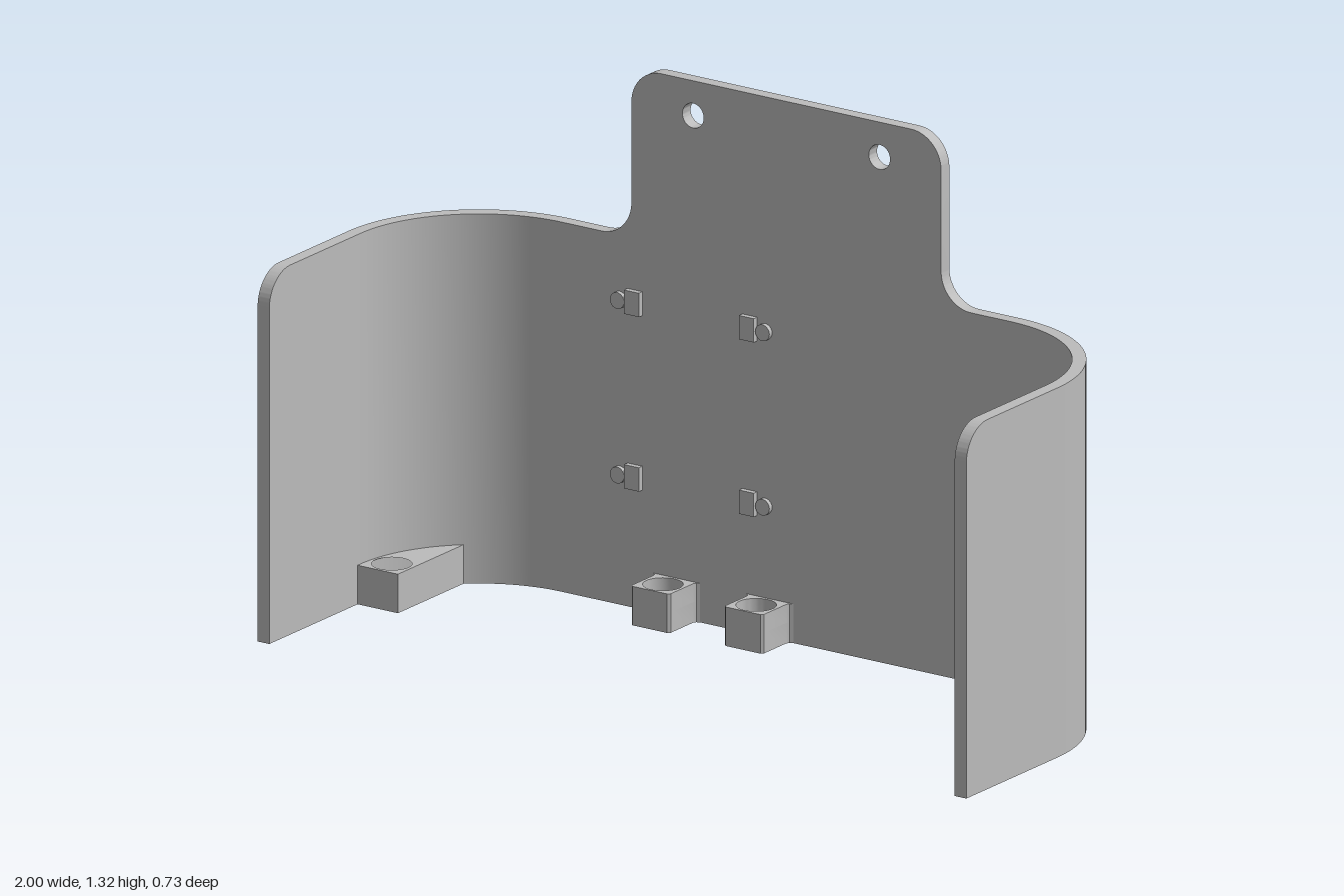
import * as THREE from 'three';
import { toCreasedNormals } from 'three/addons/utils/BufferGeometryUtils.js';

const T = 0.033;        // wall thickness
const H = 0.9;          // wall height
const D = 0.367;        // half depth
const R = 0.367;        // outer corner radius
const CX = 1 - R;       // corner centre, at z = 0
const INNER = -D + T;   // inner face of the back wall
const BOSS_H = 0.095;

export function createModel() {
  const group = new THREE.Group();
  const grey = new THREE.MeshStandardMaterial({ color: 0xbcbcbc });
  grey.name = 'grey plastic';

  function add(name, geometry) {
    const mesh = new THREE.Mesh(toCreasedNormals(geometry, 0.5), grey);
    mesh.name = name;
    group.add(mesh);
    return mesh;
  }
  const extrude = (shape, depth) =>
    new THREE.ExtrudeGeometry(shape, { depth, bevelEnabled: false, curveSegments: 20 });
  // Extrude a plan outline (x, -z) upwards from y0
  const rise = (shape, y0, height) => extrude(shape, height).rotateX(-Math.PI / 2).translate(0, y0, 0);
  const circle = (x, y, r) => new THREE.Path().absarc(x, y, r, 0, Math.PI * 2, true);
  const arc = (r, a0, a1, s) => Array.from({ length: 33 }, (_, i) => {
    const a = a0 + (a1 - a0) * i / 32;
    return new THREE.Vector2(s * (CX + r * Math.cos(a)), r * Math.sin(a));
  });

  // Back panel with the raised mounting tab
  const w = 0.437, top = 1.315, r = 0.085;
  const back = new THREE.Shape();
  back.moveTo(-CX, 0);
  back.lineTo(CX, 0);
  back.lineTo(CX, H);
  back.lineTo(w + r, H);
  back.absarc(w + r, H + r, r, -Math.PI / 2, -Math.PI, true);
  back.absarc(w - r, top - r, r, 0, Math.PI / 2, false);
  back.absarc(-w + r, top - r, r, Math.PI / 2, Math.PI, false);
  back.absarc(-w - r, H + r, r, 0, -Math.PI / 2, true);
  back.lineTo(-CX, H);
  back.closePath();
  for (const x of [-0.263, 0.263]) back.holes.push(circle(x, 1.23, 0.03));
  add('backPanel', extrude(back, T).translate(0, 0, -D));

  // Side panel outline, drawn as (z, y), with a rounded top front corner
  const side = new THREE.Shape();
  side.moveTo(0, 0);
  side.lineTo(D, 0);
  side.lineTo(D, H - r);
  side.absarc(D - r, H - r, r, 0, Math.PI / 2, false);
  side.lineTo(0, H);
  side.closePath();

  // Screw boss: counterbored block from a plan outline
  function boss(name, points, hx, hz) {
    const layers = [[0, 0.05, 0.028], [0.05, BOSS_H - 0.05, 0.047]];
    layers.forEach(([y, h, radius], i) => {
      const shape = new THREE.Shape(points);
      shape.holes.push(circle(hx, -hz, radius));
      add(name + (i ? 'Top' : 'Base'), rise(shape, y, h));
    });
  }

  for (const s of [-1, 1]) {
    const label = s > 0 ? 'left' : 'right';
    // Straight side wall
    add(label + 'Side', extrude(side, T).rotateY(-Math.PI / 2).translate(s > 0 ? 1 : -1 + T, 0, 0));

    // Curved corner between back and side
    const ring = [...arc(R, 0, Math.PI / 2, s), ...arc(R - T, Math.PI / 2, 0, s)];
    add(label + 'Corner', rise(new THREE.Shape(ring), 0, H));

    // Corner boss following the curve of the wall
    const ri = R - T + 0.002, bx = 0.853;
    boss(label + 'Boss', [
      new THREE.Vector2(s * bx, -0.012),
      new THREE.Vector2(s * (CX + ri), -0.012),
      ...arc(ri, 0, Math.acos((bx - CX) / ri), s),
    ], s * 0.909, -0.043);
  }

  // Two bosses on the back wall, flared where they meet it
  for (const x of [-0.31, -0.047]) {
    const a = 0.055, f = 0.012, zf = 0.227;
    const outline = [[-a, zf + 0.006], [-a + 0.006, zf], [a - 0.006, zf], [a, zf + 0.006],
      [a, -INNER - f], [a + 0.004, -INNER - 0.004], [a + f, -INNER],
      [-a - f, -INNER], [-a - 0.004, -INNER - 0.004], [-a, -INNER - f]];
    boss('backBoss', outline.map(([px, py]) => new THREE.Vector2(x + px, py)), x, -0.28);
  }

  // Small clips, each a block with a round pin beside it
  for (const y of [0.32, 0.745]) {
    for (const s of [-1, 1]) {
      const mid = -0.265;
      add('clipBlock', new THREE.BoxGeometry(0.042, 0.058, 0.014)
        .translate(mid + s * 0.162, y, INNER + 0.007));
      add('clipPin', new THREE.CylinderGeometry(0.02, 0.02, 0.011, 20).rotateX(Math.PI / 2)
        .translate(mid + s * 0.205, y - 0.002, INNER + 0.0055));
    }
  }
  return group;
}
